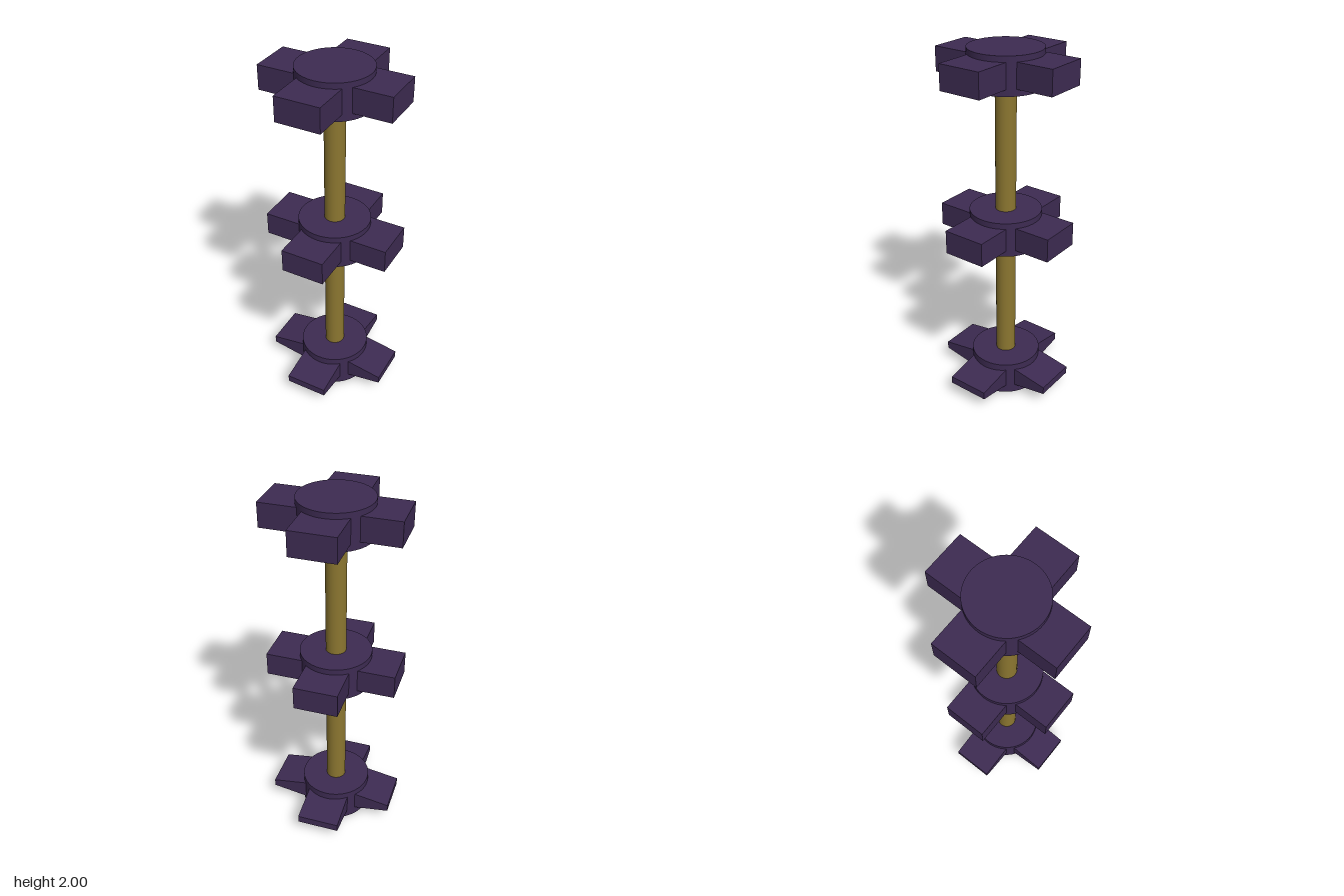
import * as THREE from 'three';

const HUB_R = 0.197, ARM_REACH = 0.36, ARM_W = 0.24;

export function createModel() {
  const model = new THREE.Group();
  model.name = 'crossHubPole';
  const purple = new THREE.MeshStandardMaterial({ color: 0x3d2b52 });
  const gold = new THREE.MeshStandardMaterial({ color: 0x8b7630 });

  const add = (parent, name, geometry, material, y = 0) => {
    const mesh = new THREE.Mesh(geometry, material);
    mesh.name = name;
    mesh.position.y = y;
    parent.add(mesh);
    return mesh;
  };

  // Arm running out along +x: a side profile, extruded across its width
  const armGeometry = (rootHalf, tipHalf) => {
    const profile = new THREE.Shape([
      new THREE.Vector2(0.05, -rootHalf),
      new THREE.Vector2(ARM_REACH, -tipHalf),
      new THREE.Vector2(ARM_REACH, tipHalf),
      new THREE.Vector2(0.05, rootHalf),
    ]);
    return new THREE.ExtrudeGeometry(profile, { depth: ARM_W, bevelEnabled: false })
      .translate(0, 0, -ARM_W / 2);
  };
  const blockArm = armGeometry(0.066, 0.066);
  const taperedArm = armGeometry(0.073, 0.022);
  const hubGeometry = new THREE.CylinderGeometry(HUB_R, HUB_R, 0.197, 64);

  // Round hub with four arms in a cross
  const addCross = (name, hubY, armY, arm) => {
    const cross = new THREE.Group();
    cross.name = name;
    add(cross, 'hub', hubGeometry, purple, hubY);
    for (let i = 0; i < 4; i++) {
      add(cross, 'arm', arm, purple, armY).rotation.y = i * Math.PI / 2;
    }
    model.add(cross);
  };
  addCross('bottomCross', 0.0985, 0.105, taperedArm);
  addCross('middleCross', 1.021, 1.021, blockArm);
  addCross('topCross', 1.9015, 1.904, blockArm);

  // Central pole, ending inside the end hubs
  add(model, 'pole', new THREE.CylinderGeometry(0.056, 0.056, 1.8, 32), gold, 1);

  return model;
}
